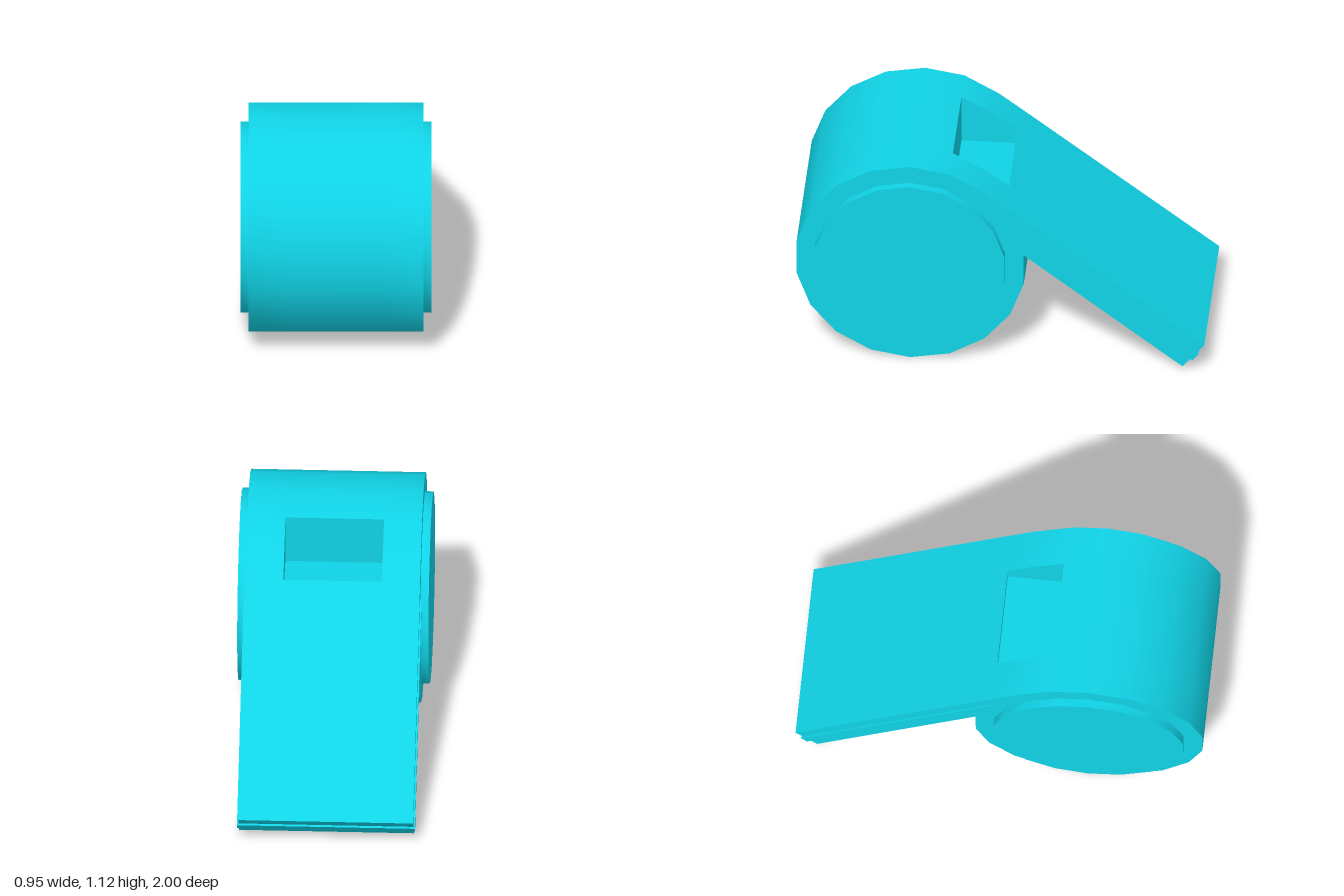
import * as THREE from 'three';
import { mergeGeometries, toCreasedNormals } from 'three/addons/utils/BufferGeometryUtils.js';

const material = new THREE.MeshStandardMaterial({ color: 0x10d3e6 });
const CZ = 0.442, CY = 0.5625;

// Point [z, y] on a circle around the drum axis, angle measured from +z
function onDrum(radius, degrees) {
  const a = THREE.MathUtils.degToRad(degrees);
  return [CZ + radius * Math.cos(a), CY + radius * Math.sin(a)];
}

// Points around the drum axis in 20 degree steps, clockwise
function arc(radius, from, to) {
  const points = [];
  for (let a = from; a >= to; a -= 20) points.push(onDrum(radius, a));
  return points;
}

// Wall swept along x over a closed clockwise [z, y] profile
function skin(profile, x0, x1) {
  const pos = [];
  profile.forEach(([z, y], i) => {
    const [z2, y2] = profile[(i + 1) % profile.length];
    pos.push(x0, y, z, x0, y2, z2, x1, y2, z2);
    pos.push(x0, y, z, x1, y2, z2, x1, y, z);
  });
  const geo = new THREE.BufferGeometry();
  geo.setAttribute('position', new THREE.Float32BufferAttribute(pos, 3));
  return geo;
}

// Flat [z, y] polygon at x, facing +x (dir 1) or -x (dir -1)
function face(profile, x, dir) {
  const shape = new THREE.Shape(profile.map(([z, y]) => new THREE.Vector2(-dir * z, y)));
  const geo = new THREE.ShapeGeometry(shape).toNonIndexed();
  geo.deleteAttribute('uv');
  geo.deleteAttribute('normal');
  return geo.rotateY(dir * Math.PI / 2).translate(x, 0, 0);
}

function part(name, geometries) {
  const mesh = new THREE.Mesh(toCreasedNormals(mergeGeometries(geometries), 0.6), material);
  mesh.name = name;
  return mesh;
}

export function createModel() {
  const group = new THREE.Group();
  group.name = 'whistle';
  const half = 0.425, windowHalf = 0.24;

  // Side outline: round drum with a sloping mouthpiece behind it
  const lip = [-0.025, 0.912];
  const drum = arc(0.5625, 110, -170);
  const mouth = [[-0.112, 0.635], [-0.887, 0.025], [-0.993, 0.155]];
  const shoulder = onDrum(0.5625, 130);
  const outline = [...drum, ...mouth, lip, shoulder];

  // Middle of the body, notched for the air window
  const floorY = 0.835;
  const recess = [[lip[0], floorY], [drum[0][0], floorY]];
  const notched = [...drum, ...mouth, lip, ...recess];
  const windowSide = [lip, shoulder, drum[0], recess[1], recess[0]];

  group.add(part('body', [
    skin(outline, -half, -windowHalf),
    skin(notched, -windowHalf, windowHalf),
    skin(outline, windowHalf, half),
    face(outline, half, 1),
    face(outline, -half, -1),
    face(windowSide, windowHalf, -1),
    face(windowSide, -windowHalf, 1),
  ]));

  // Raised round plates on both sides of the drum
  const ring = arc(0.47, 170, -170);
  group.add(part('leftSidePlate', [skin(ring, half, 0.465), face(ring, 0.465, 1)]));
  group.add(part('rightSidePlate', [skin(ring, -0.465, -half), face(ring, -0.465, -1)]));

  // Thin seam band standing slightly proud of the mouthpiece
  const band = [[-0.04, 0.825], [-0.04, 0.778], [-0.936, 0.068], [-0.965, 0.105]];
  group.add(part('mouthpieceBand', [
    skin(band, -0.433, 0.433), face(band, 0.433, 1), face(band, -0.433, -1),
  ]));

  // The whole piece sits turned by one degree
  group.rotation.y = THREE.MathUtils.degToRad(1);
  group.position.x = -0.01;
  return group;
}
